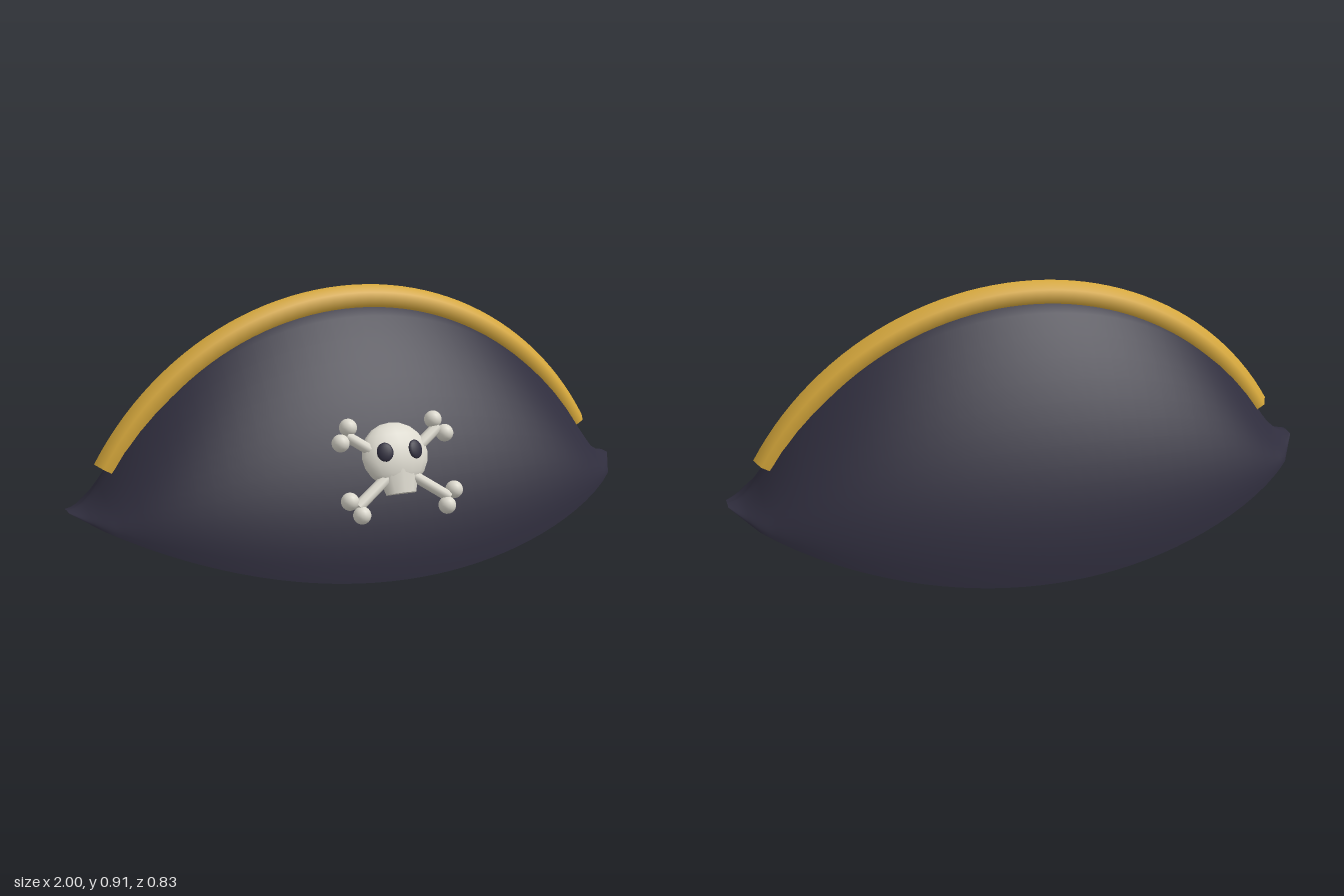
import * as THREE from 'three';

const mat = (name, color) => new THREE.MeshStandardMaterial({ name, color });

function addMesh(parent, name, geometry, material, position = [0, 0, 0]) {
  const mesh = new THREE.Mesh(geometry, material);
  mesh.name = name;
  mesh.position.set(...position);
  parent.add(mesh);
  return mesh;
}

// Smooth surface through point(i, j), facing di x dj
function gridSurface(columns, rows, point) {
  const positions = [], index = [];
  for (let i = 0; i <= columns; i++) {
    for (let j = 0; j <= rows; j++) {
      positions.push(...point(i, j));
      if (i < columns && j < rows) {
        const a = i * (rows + 1) + j, b = a + rows + 1;
        index.push(a, b, a + 1, b, b + 1, a + 1);
      }
    }
  }
  const g = new THREE.BufferGeometry();
  g.setAttribute('position', new THREE.Float32BufferAttribute(positions, 3));
  g.setIndex(index);
  g.computeVertexNormals();
  return g;
}

// Outline rules of the hat along x
const ARC_R = 1.002, ARC_Y = -0.142;
const brimY = x => 0.24 * x * x;
const halfWidth = x => {
  const a = Math.abs(x);
  return a < 0.92 ? 0.41 * Math.sqrt(1 - a * a) : THREE.MathUtils.mapLinear(a, 0.92, 1, 0.161, 0.03);
};
const ridgeY = x => {
  const a = Math.abs(x);
  return a < 0.87 ? ARC_Y + 0.008 + Math.sqrt(ARC_R ** 2 - a * a) : 0.243 + 0.12 * ((1 - a) / 0.13) ** 2;
};

export function createModel() {
  const model = new THREE.Group();
  model.name = 'hat';
  const felt = mat('dark felt', 0x2f2d3d);
  const gold = mat('gold', 0xd9aa3c);
  const bone = mat('bone', 0xdcd9ce);

  // Stations along the hat, closer together at the tips
  const half = [0.87, 0.895, 0.92, 0.945, 0.97, 1];
  const stations = [...half.map(x => -x).reverse()];
  for (let i = 1; i < 32; i++) stations.push(-0.87 + (1.74 * i) / 32);
  stations.push(...half);
  const columns = stations.length - 1;

  // Crown: front brim, over the ridge, to the back brim
  const rows = 28;
  addMesh(model, 'crown', gridSurface(columns, rows, (i, j) => {
    const x = stations[i], u = (2 * j) / rows - 1;
    const s = 1 - Math.abs(u);
    const z = -Math.sign(u) * halfWidth(x) * (1 - s ** 1.8);
    return [x, THREE.MathUtils.lerp(brimY(x), ridgeY(x), s), z];
  }), felt);

  // Closed underside
  addMesh(model, 'underside', gridSurface(columns, 2, (i, j) =>
    [stations[i], brimY(stations[i]), (j - 1) * halfWidth(stations[i])]), felt);

  // Six-sided gold trim along the ridge, with end caps
  const trim = new THREE.Group();
  trim.name = 'trim';
  trim.position.y = ARC_Y;
  model.add(trim);
  const start = 0.525, arc = Math.PI - 2 * start;
  addMesh(trim, 'trimBand', new THREE.TorusGeometry(ARC_R, 0.045, 6, 48, arc).rotateZ(start), gold);
  for (const [angle, flip] of [[start, Math.PI / 2], [Math.PI - start, -Math.PI / 2]]) {
    const cap = new THREE.CircleGeometry(0.045, 6).rotateX(flip)
      .translate(ARC_R, 0, 0).rotateZ(angle);
    addMesh(trim, 'trimEnd', cap, gold);
  }

  // Skull and crossed bones, leaning back with the front
  const emblem = new THREE.Group();
  emblem.name = 'emblem';
  emblem.position.set(0, 0.355, 0.332);
  emblem.rotation.x = -0.39;
  model.add(emblem);

  const ball = new THREE.SphereGeometry(1, 16, 10);
  addMesh(emblem, 'skull', ball, bone, [0, 0.04, 0]).scale.set(0.117, 0.107, 0.052);
  addMesh(emblem, 'jaw', new THREE.CylinderGeometry(0.075, 0.052, 0.075, 10), bone, [0, -0.05, 0])
    .scale.z = 0.6;
  for (const side of [-1, 1]) {
    const eye = addMesh(emblem, 'eye', ball, felt, [side * 0.054, 0.046, 0.046]);
    eye.scale.set(0.027, 0.031, 0.009);
    eye.rotation.y = side * 0.25;

    const shaft = addMesh(emblem, 'boneShaft', new THREE.CylinderGeometry(0.019, 0.019, 0.4, 8), bone, [0, 0, 0.01]);
    shaft.rotation.z = side * Math.atan2(0.165, 0.117);
    for (const up of [-1, 1]) {
      for (const [x, y] of [[0.152, 0.142], [0.186, 0.094]]) {
        addMesh(emblem, 'boneKnob', ball, bone, [side * x, up * y, 0.01]).scale.setScalar(0.029);
      }
    }
  }
  return model;
}
